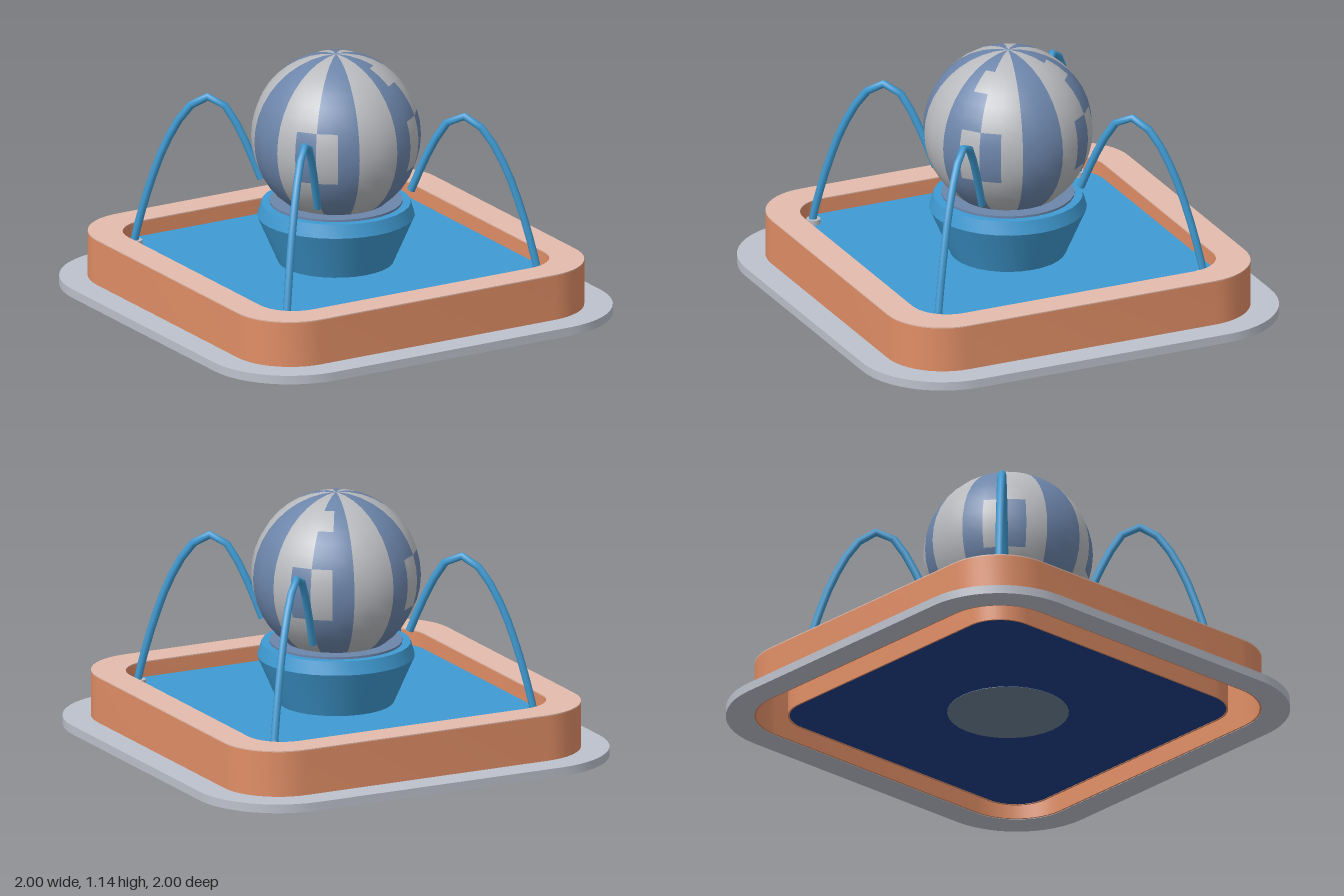
import * as THREE from 'three';
import { toCreasedNormals } from 'three/addons/utils/BufferGeometryUtils.js';

const mat = (name, color, side = THREE.FrontSide) => {
  const m = new THREE.MeshStandardMaterial({ color, side });
  m.name = name;
  return m;
};

// Rounded square outline, half-width h and corner radius r
function roundedSquare(h, r, Type = THREE.Shape) {
  const s = new Type();
  const c = h - r;
  s.absarc(c, c, r, 0, Math.PI / 2);
  s.absarc(-c, c, r, Math.PI / 2, Math.PI);
  s.absarc(-c, -c, r, Math.PI, Math.PI * 1.5);
  s.absarc(c, -c, r, Math.PI * 1.5, Math.PI * 2);
  s.closePath();
  return s;
}

// Horizontal slab from y0 to y1, with an optional rounded square hole
function slab(outer, inner, y0, y1) {
  const shape = roundedSquare(...outer);
  if (inner) shape.holes.push(roundedSquare(...inner, THREE.Path));
  const g = new THREE.ExtrudeGeometry(shape, { depth: y1 - y0, bevelEnabled: false, curveSegments: 6 });
  g.rotateX(-Math.PI / 2);
  g.translate(0, y0, 0);
  return toCreasedNormals(g, 0.6);
}

export function createModel() {
  const model = new THREE.Group();
  const stone = mat('stone grey', 0xbdc1cc);
  const clay = mat('terracotta', 0xe08e66);
  const paleClay = mat('pale terracotta', 0xe4bbac);
  const blue = mat('water blue', 0x3f9ad2, THREE.DoubleSide);
  const navy = mat('navy', 0x203f88);
  const slate = mat('slate blue', 0x6c85aa);
  const silver = mat('silver grey', 0xb8babe);
  const darkSlate = mat('drain slate', 0x6c8094);

  const add = (name, geometry, material, parent = model) => {
    const m = new THREE.Mesh(geometry, material);
    m.name = name;
    parent.add(m);
    return m;
  };

  // Paving and the hollow basin wall, open underneath
  const out = [0.875, 0.27], inn = [0.735, 0.17];
  add('paving', slab([1, 0.39], out, 0, 0.04), stone);
  add('basinOuterWall', slab(out, [0.867, 0.262], 0.002, 0.24), clay);
  add('basinInnerWall', slab([0.743, 0.178], inn, 0, 0.24), clay);
  add('basinRimUnderside', slab(out, inn, 0.236, 0.245), clay);
  add('basinRim', slab(out, inn, 0.245, 0.25), paleClay);

  // Pool
  add('poolFloor', slab(inn, null, 0.002, 0.02), navy);
  add('water', slab(inn, null, 0.17, 0.178), blue);
  const drain = add('drainPlate', new THREE.CylinderGeometry(0.27, 0.27, 0.008, 32), darkSlate);
  drain.position.y = 0.004;

  // Pedestal bowl and the seat ring under the globe
  const profile = [[0.255, 0.172], [0.35, 0.39], [0.332, 0.45], [0.2, 0.45]]
    .map(([x, y]) => new THREE.Vector2(x, y));
  add('pedestal', toCreasedNormals(new THREE.LatheGeometry(profile, 32), 0.4), blue);
  add('globeSeat', new THREE.CylinderGeometry(0.295, 0.295, 0.012, 32), slate).position.y = 0.454;

  // Globe: meridian stripes with stepped edges, coloured cell by cell
  const cols = 24, rows = 20;
  const globeGeo = new THREE.SphereGeometry(0.377, cols, rows);
  let start = 0;
  for (let r = 0; r < rows; r++) {
    for (let c = 0; c < cols; c++) {
      const count = r === 0 || r === rows - 1 ? 3 : 6;
      const light = (c + 19) % 4 < 2;
      const middleStep = r >= 8 && r <= 11 && (c % 6 === 2 || c % 6 === 3);
      const upperStep = (r === 3 || r === 4) && (c === 8 || c === 15);
      globeGeo.addGroup(start, count, light !== (middleStep || upperStep) ? 1 : 0);
      start += count;
    }
  }
  add('globe', globeGeo, [slate, silver]).position.y = 0.762;

  // Four arching water jets with their nozzles
  const arc = [[0.655, 0.17], [0.643, 0.25], [0.602, 0.46], [0.547, 0.67], [0.48, 0.83],
    [0.43, 0.888], [0.38, 0.885], [0.335, 0.81], [0.29, 0.69], [0.242, 0.53]];
  const curve = new THREE.CatmullRomCurve3(arc.map(([d, y]) => new THREE.Vector3(d, y, d)));
  const jetGeo = new THREE.TubeGeometry(curve, 14, 0.018, 8);
  const nozzleGeo = new THREE.CylinderGeometry(0.032, 0.032, 0.03, 16);
  for (let i = 0; i < 4; i++) {
    const corner = new THREE.Group();
    corner.name = 'cornerJet';
    corner.rotation.y = (i * Math.PI) / 2;
    add('waterJet', jetGeo, blue, corner);
    add('nozzle', nozzleGeo, silver, corner).position.set(0.648, 0.185, 0.648);
    model.add(corner);
  }
  return model;
}
